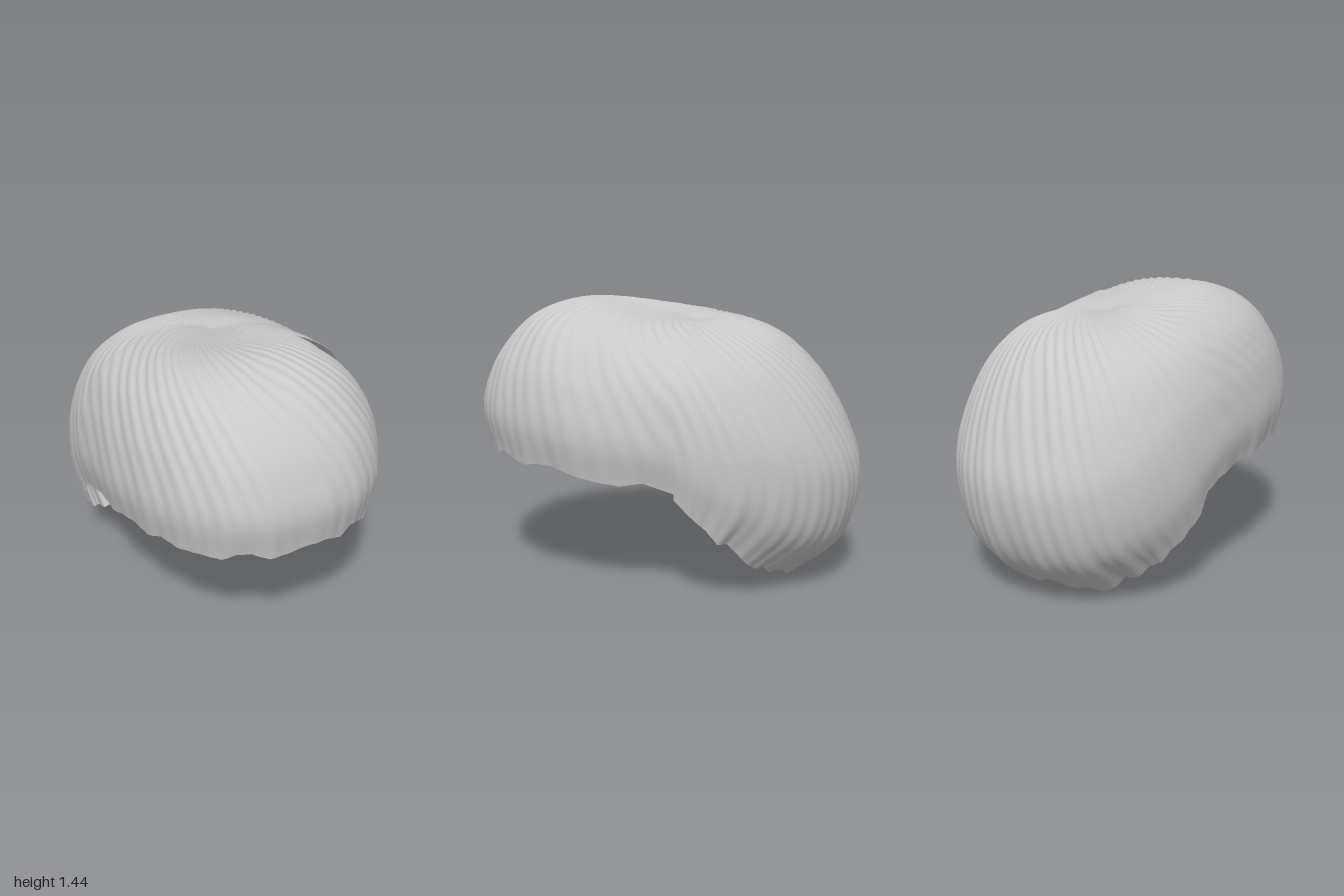
import * as THREE from 'three';

const CROWN_Z = -0.15;
const TWIST = 1.2;               // how far strands swirl from crown to hem
const SEAM = Math.PI / 2;        // seam angle at the hem (0 = front, + toward +x)
const RIDGES = 60;

// Meridian profiles from crown to hem: [distance from crown axis, height]
const curve = pts => new THREE.CatmullRomCurve3(pts.map(([r, y]) => new THREE.Vector3(r, y, 0)));
const seamSide = curve([[0, 1.325], [0.2, 1.325], [0.41, 1.265], [0.57, 1.16], [0.67, 1.02], [0.712, 0.86], [0.72, 0.72], [0.685, 0.54]]);
const plainSide = curve([[0, 1.325], [0.22, 1.365], [0.43, 1.335], [0.585, 1.23], [0.675, 1.06], [0.712, 0.88], [0.72, 0.74], [0.69, 0.58]]);
const front = curve([[0, 1.325], [0.3, 1.39], [0.6, 1.435], [0.85, 1.36], [1.02, 1.2], [1.11, 1.04], [1.148, 0.88], [1.12, 0.68]]);
const back = curve([[0, 1.325], [0.2, 1.33], [0.42, 1.255], [0.62, 1.075], [0.78, 0.8], [0.848, 0.55], [0.765, 0.22], [0.49, 0]]);

function seeded(seed) {
  return () => (seed = (seed * 16807) % 2147483647) / 2147483647;
}

// Sweep the profiles round the crown along swirling strand lines
function swirlCap() {
  const COLS = 480, EXTRA = 10, ROWS = 56, TEETH = 60;
  const { lerp, smoothstep } = THREE.MathUtils;
  const rand = seeded(77);
  const teeth = Array.from({ length: TEETH }, () => rand() * 0.05 - 0.015);
  const pos = [], index = [];
  const centre = new THREE.Vector3(0, 0.75, 0);
  const p = new THREE.Vector3(), dir = new THREE.Vector3();
  const rows = [];
  for (let j = 0; j <= ROWS; j++) {
    const t = j / ROWS;
    rows.push({ t, l: seamSide.getPoint(t), r: plainSide.getPoint(t), f: front.getPoint(t), b: back.getPoint(t) });
  }
  for (let i = 0; i <= COLS + EXTRA; i++) {
    const phi = i / COLS * Math.PI * 2;
    // ragged hem height
    const k = i / COLS * TEETH, k0 = Math.floor(k);
    const tooth = lerp(teeth[k0 % TEETH], teeth[(k0 + 1) % TEETH], k - k0);
    // the front sheet sinks under the back sheet at the seam
    const tuck = smoothstep(phi, Math.PI * 2 - 0.5, Math.PI * 2);
    for (const { t, l, r, f, b } of rows) {
      const theta = SEAM + phi - TWIST * Math.pow(1 - t, 2.2);
      const sn = Math.sin(theta), cs = Math.cos(theta);
      const isFront = cs > 0, isLeft = sn > 0;
      // each quadrant has its own roundness: smaller is boxier
      const power = isFront ? (isLeft ? 0.86 : 0.8) : (isLeft ? 1 : 0.84);
      const u = Math.sign(sn) * Math.pow(Math.abs(sn), power);
      const w = Math.pow(Math.abs(cs), power);
      const m = isFront ? f : b;
      const s = isLeft ? l : r;
      // the front quadrant beside the seam slopes away lower
      const rise = isFront && isLeft ? Math.pow(w, 1 + 0.3 * (1 - t)) : w;
      p.set(
        s.x * u + 0.03 * (1 - t) * (1 - t),
        lerp(s.y, m.y, rise) + tooth * Math.pow(t, 10),
        CROWN_Z + m.x * w * (isFront ? 1 : -1)
      );
      // strand ridges, fading toward the hem, over broad uneven locks
      const fade = smoothstep(t, 0.02, 0.3);
      const ridge = fade * (0.004 - 0.0025 * t) * Math.sin(phi * RIDGES)
        + 0.003 * t * Math.sin(phi * 23 + t * 5);
      dir.copy(p).sub(centre).normalize();
      p.addScaledVector(dir, ridge - 0.055 * tuck * smoothstep(t, 0.15, 0.6));
      pos.push(p.x, Math.max(0, p.y), p.z);
    }
  }
  const n = ROWS + 1;
  for (let i = 0; i < COLS + EXTRA; i++) {
    for (let j = 0; j < ROWS; j++) {
      const a = i * n + j, c = a + n;
      if (j > 0) index.push(a, a + 1, c);
      index.push(c, a + 1, c + 1);
    }
  }
  const geo = new THREE.BufferGeometry();
  geo.setAttribute('position', new THREE.Float32BufferAttribute(pos, 3));
  geo.setIndex(index);
  geo.computeVertexNormals();
  return geo;
}

export function createModel() {
  const group = new THREE.Group();
  group.name = 'hairpiece';
  const grey = new THREE.MeshStandardMaterial({ color: 0xc8c8c8, side: THREE.DoubleSide });
  grey.name = 'hair grey';
  const cap = new THREE.Mesh(swirlCap(), grey);
  cap.name = 'swirledHair';
  group.add(cap);
  return group;
}
